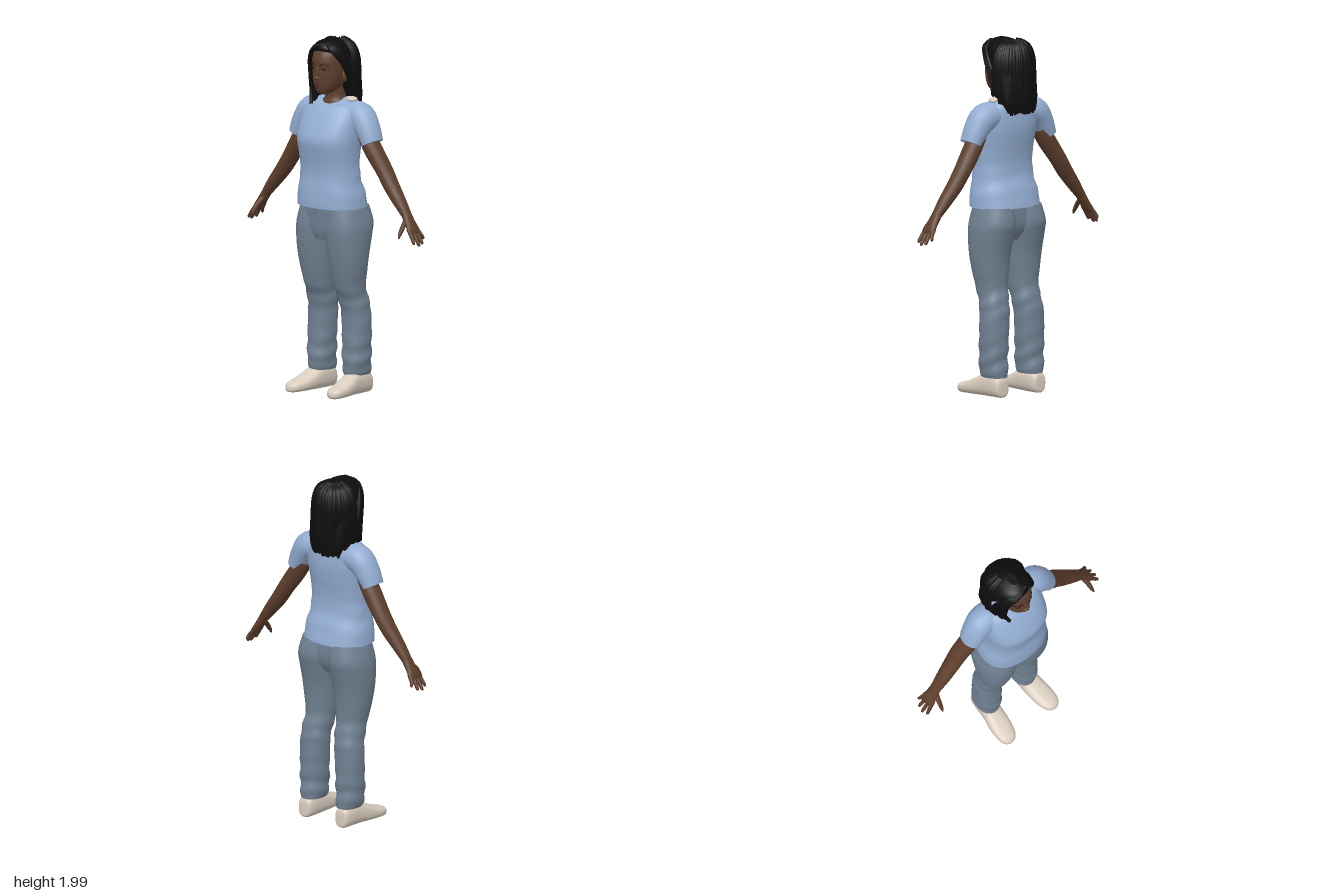
import * as THREE from 'three';

const paint = (name, color) => Object.assign(new THREE.MeshStandardMaterial({ color }), { name });
const M = {
  skin: paint('brown skin', 0x5d3e2c), hair: paint('black hair', 0x0d0d0d),
  shirt: paint('light blue cotton', 0x93add2), pants: paint('grey blue cloth', 0x708192),
  shoe: paint('cream canvas', 0xd9ccbe), lips: paint('dark lips', 0x4b2a23),
  dark: paint('dark eyes and brows', 0x21150f),
};

// Smooth interpolation of rows of numbers
function smoothRows(rows, n) {
  const out = [];
  for (let i = 0; i < rows.length - 1; i++) {
    const a = rows[Math.max(i - 1, 0)], b = rows[i], c = rows[i + 1], d = rows[Math.min(i + 2, rows.length - 1)];
    for (let k = 0; k < n; k++) {
      const t = k / n;
      out.push(b.map((_, j) => b[j] + 0.5 * t * (c[j] - a[j]
        + t * (2 * a[j] - 5 * b[j] + 4 * c[j] - d[j] + t * (3 * (b[j] - c[j]) + d[j] - a[j])))));
    }
  }
  out.push(rows[rows.length - 1]);
  return out;
}

// Skin a closed surface over rings given as { c, u, v }
function skinRings(rings, seg, power, warp) {
  const pos = [], idx = [], e = 2 / power;
  const bend = (t) => Math.sign(t) * Math.abs(t) ** e;
  const ringPoints = (r) => Array.from({ length: seg }, (_, j) => {
    const a = (j / seg) * Math.PI * 2;
    const p = r.c.clone().addScaledVector(r.u, bend(Math.cos(a))).addScaledVector(r.v, bend(Math.sin(a)));
    if (warp) warp(p, a, r.c);
    return p;
  });
  const all = rings.map(ringPoints);
  all.forEach((ring) => ring.forEach((p) => pos.push(p.x, p.y, p.z)));
  for (let i = 0; i < rings.length - 1; i++) {
    for (let j = 0; j < seg; j++) {
      const a = i * seg + j, b = i * seg + (j + 1) % seg, c = a + seg, d = b + seg;
      idx.push(a, c, b, b, c, d);
    }
  }
  // End caps with their own vertices
  [0, rings.length - 1].forEach((ri) => {
    const start = pos.length / 3;
    const mid = all[ri].reduce((s, p) => s.add(p), new THREE.Vector3()).divideScalar(seg);
    [...all[ri], mid].forEach((p) => pos.push(p.x, p.y, p.z));
    for (let j = 0; j < seg; j++) {
      const a = start + j, b = start + (j + 1) % seg, m = start + seg;
      if (ri === 0) idx.push(a, b, m); else idx.push(b, a, m);
    }
  });
  const g = new THREE.BufferGeometry();
  g.setAttribute('position', new THREE.Float32BufferAttribute(pos, 3));
  g.setIndex(idx);
  g.computeVertexNormals();
  return g;
}

// Upright body from rows [y, x0, x1, z0, z1]
function upright(rows, power = 2, warp = null, seg = 40, n = 5) {
  return skinRings(smoothRows(rows, n).map(([y, x0, x1, z0, z1]) => ({
    c: new THREE.Vector3((x0 + x1) / 2, y, (z0 + z1) / 2),
    u: new THREE.Vector3((x1 - x0) / 2, 0, 0), v: new THREE.Vector3(0, 0, (z1 - z0) / 2),
  })), seg, power, warp);
}

// Limb from rows [x, y, z, thickness, depth], bending in the xy plane
function limb(rows, side, seg = 20, n = 4) {
  const r = smoothRows(rows.map(([x, ...rest]) => [x * side, ...rest]), n);
  return skinRings(r.map(([x, y, z, a, b], i) => {
    const p = r[Math.max(i - 1, 0)], q = r[Math.min(i + 1, r.length - 1)];
    const l = Math.hypot(q[0] - p[0], q[1] - p[1]);
    return {
      c: new THREE.Vector3(x, y, z),
      u: new THREE.Vector3((q[1] - p[1]) / l * a, -(q[0] - p[0]) / l * a, 0), v: new THREE.Vector3(0, 0, b),
    };
  }), seg, 2);
}

const sideRows = (rows, s) => rows.map(([y, a, b, ...z]) => (s > 0 ? [y, a, b, ...z] : [y, -b, -a, ...z]));
const even = (rows) => rows.map(([y, w, ...z]) => [y, -w, w, ...z]);
const tube = (pts, r, n = 14, sides = 6) => new THREE.TubeGeometry(
  new THREE.CatmullRomCurve3(pts.map((p) => new THREE.Vector3(...p))), n, r, sides);

export function createModel() {
  const model = new THREE.Group();
  const add = (name, geo, mat, parent = model) => {
    const m = new THREE.Mesh(geo, mat);
    m.name = name;
    parent.add(m);
    return m;
  };
  const blob = (name, mat, p, s) => {
    const m = add(name, new THREE.SphereGeometry(1, 20, 14), mat);
    m.position.set(...p);
    m.scale.set(...s);
    return m;
  };

  // Shirt body with scooped neck and soft folds at the waist
  add('shirt', upright(even([
    [1.055, 0.205, -0.165, 0.15], [1.12, 0.2, -0.152, 0.15], [1.25, 0.178, -0.115, 0.14],
    [1.35, 0.18, -0.12, 0.155], [1.43, 0.187, -0.135, 0.17], [1.5, 0.19, -0.145, 0.148],
    [1.57, 0.185, -0.145, 0.11], [1.62, 0.165, -0.14, 0.075], [1.65, 0.125, -0.125, 0.045],
    [1.665, 0.085, -0.11, 0.03]]), 2.35, (p, a, c) => {
    const w = Math.exp(-(((p.y - 1.2) / 0.09) ** 2));
    const f = 1 + 0.025 * w * Math.sin(p.y * 55 + 2 * Math.cos(a) * Math.sign(p.x)) * (p.z < 0 ? 1 : 0.3);
    p.x *= f;
    p.z = c.z + (p.z - c.z) * f;
    if (p.y > 1.63) p.y -= 0.3 * Math.max(0, p.z + 0.03) * (p.y - 1.63) / 0.02;
  }, 48), M.shirt);
  blob('undershirtStrap', M.shoe, [0.11, 1.657, -0.045], [0.032, 0.016, 0.032]);

  // Trousers: hips, then each leg
  add('trouserHips', upright(even([[0.87, 0.1, -0.1, 0.095], [0.92, 0.17, -0.135, 0.11],
    [0.98, 0.215, -0.15, 0.115], [1.07, 0.198, -0.145, 0.118]]), 2.3), M.pants);
  const legRows = [[0.11, 0.068, 0.188, -0.152, 0.012], [0.14, 0.06, 0.198, -0.152, 0.02],
    [0.22, 0.054, 0.205, -0.146, 0.018], [0.4, 0.044, 0.208, -0.146, 0.012], [0.5, 0.038, 0.2, -0.143, 0.022],
    [0.6, 0.028, 0.194, -0.118, 0.06], [0.7, 0.014, 0.21, -0.12, 0.086], [0.8, 0.003, 0.222, -0.132, 0.105],
    [0.9, -0.01, 0.227, -0.157, 0.115], [0.97, -0.012, 0.223, -0.172, 0.114], [1.06, -0.01, 0.198, -0.155, 0.1]];
  const legFolds = (p, a, c) => {
    const w = Math.exp(-(((p.y - 0.23) / 0.1) ** 2)) + 0.7 * Math.exp(-(((p.y - 0.53) / 0.07) ** 2));
    const f = 1 + 0.06 * w * Math.sin(p.y * 62 + 2 * Math.sin(a) + 1.5 * Math.cos(a));
    p.x = c.x + (p.x - c.x) * f;
    p.z = c.z + (p.z - c.z) * f;
  };
  for (const s of [1, -1]) {
    const tag = s > 0 ? 'left' : 'right';
    add(`${tag}TrouserLeg`, upright(sideRows(legRows, s), 2.2, legFolds, 36, 7), M.pants);
    add(`${tag}Drawstring`, tube([[0.004 * s, 1.05, 0.117], [0.014 * s, 1.02, 0.12], [0.01 * s, 0.985, 0.12]], 0.004), M.pants);

    // Slip-on shoe, lofted from heel to toe
    add(`${tag}Shoe`, upright(sideRows([[-0.157, 0.11, 0.155, -0.075, -0.015], [-0.148, 0.092, 0.175, -0.11, -0.002],
      [-0.1, 0.082, 0.186, -0.135, 0], [-0.02, 0.08, 0.193, -0.13, 0], [0.04, 0.082, 0.204, -0.1, 0],
      [0.1, 0.09, 0.209, -0.074, 0], [0.15, 0.105, 0.204, -0.06, 0], [0.175, 0.123, 0.188, -0.047, -0.003],
      [0.186, 0.145, 0.168, -0.03, -0.012]], s), 2.5).rotateX(Math.PI / 2), M.shoe);

    // Sleeve and arm
    add(`${tag}Sleeve`, limb([[0.1, 1.575, -0.045, 0.072, 0.075], [0.18, 1.565, -0.045, 0.08, 0.08],
      [0.235, 1.5, -0.04, 0.068, 0.074], [0.272, 1.43, -0.037, 0.054, 0.067]], s, 28), M.shirt);
    add(`${tag}Arm`, limb([[0.22, 1.47, -0.04, 0.045, 0.055], [0.275, 1.385, -0.045, 0.05, 0.056],
      [0.345, 1.285, -0.052, 0.045, 0.052], [0.4, 1.205, -0.05, 0.043, 0.047], [0.465, 1.125, -0.045, 0.036, 0.04],
      [0.525, 1.05, -0.042, 0.025, 0.031]], s), M.skin);

    // Hand with four fingers and a thumb
    add(`${tag}Palm`, limb([[0.515, 1.063, -0.042, 0.026, 0.031], [0.55, 1.012, -0.04, 0.022, 0.038],
      [0.575, 0.975, -0.04, 0.018, 0.046], [0.587, 0.955, -0.04, 0.011, 0.042]], s), M.skin);
    [[0.602, 0.922, -0.091], [0.62, 0.9, -0.062], [0.626, 0.893, -0.03], [0.617, 0.905, 0.002]].forEach(([x, y, z], i) => {
      const z0 = -0.073 + i * 0.022;
      add(`${tag}Finger`, limb([[0.565, 0.985, z0, 0.011, 0.011], [0.592, 0.948, (z0 + z) / 2, 0.011, 0.011],
        [x - 0.004, y + 0.01, z, 0.009, 0.009], [x, y, z, 0.003, 0.003]], s, 10), M.skin);
    });
    add(`${tag}Thumb`, limb([[0.528, 1.035, -0.03, 0.014, 0.018], [0.54, 0.995, 0.012, 0.014, 0.018],
      [0.544, 0.96, 0.038, 0.011, 0.012], [0.547, 0.938, 0.052, 0.004, 0.005]], s, 10), M.skin);

    // Paired face details
    blob(`${tag}Ear`, M.skin, [0.094 * s, 1.79, -0.005], [0.012, 0.033, 0.02]);
    const eye = blob(`${tag}Eye`, M.dark, [0.041 * s, 1.836, 0.108], [0.017, 0.006, 0.004]);
    eye.rotation.y = 0.35 * s;
    add(`${tag}Eyebrow`, tube([[0.018 * s, 1.857, 0.118], [0.042 * s, 1.865, 0.108], [0.066 * s, 1.855, 0.088]], 0.004), M.dark);
    blob(`${tag}Nostril`, M.skin, [0.013 * s, 1.782, 0.121], [0.011, 0.009, 0.011]);
  }

  // Neck and head
  add('neck', upright(even([[1.59, 0.09, -0.1, 0.05], [1.64, 0.078, -0.1, 0.032], [1.67, 0.058, -0.09, 0.022],
    [1.74, 0.052, -0.085, 0.025]])), M.skin);
  add('head', upright(even([[1.688, 0.018, 0.045, 0.08], [1.697, 0.038, 0.01, 0.098], [1.72, 0.06, -0.04, 0.11],
    [1.75, 0.075, -0.08, 0.117], [1.79, 0.087, -0.11, 0.118], [1.83, 0.094, -0.125, 0.116], [1.88, 0.096, -0.13, 0.118],
    [1.93, 0.085, -0.115, 0.1], [1.965, 0.055, -0.07, 0.06]]), 2.15), M.skin);
  blob('noseBridge', M.skin, [0, 1.812, 0.115], [0.01, 0.034, 0.014]);
  blob('noseTip', M.skin, [0, 1.786, 0.126], [0.014, 0.012, 0.014]);
  blob('upperLip', M.lips, [0, 1.753, 0.115], [0.026, 0.006, 0.009]);
  blob('lowerLip', M.lips, [0, 1.741, 0.114], [0.022, 0.008, 0.009]);

  // Solid hair mass under the locks
  add('hairMass', upright([[1.59, -0.11, 0.085, -0.165, -0.105], [1.65, -0.13, 0.108, -0.172, -0.07],
    [1.75, -0.138, 0.118, -0.174, -0.01], [1.85, -0.132, 0.118, -0.165, 0.045], [1.91, -0.12, 0.11, -0.145, 0.083],
    [1.945, -0.1, 0.093, -0.12, 0.102], [1.975, -0.068, 0.062, -0.085, 0.085], [1.993, -0.025, 0.025, -0.04, 0.04]],
    2.2), M.hair);

  // Hanging locks around the sides and back
  const locks = new THREE.Group();
  locks.name = 'hairLocks';
  model.add(locks);
  let seed = 7;
  const rnd = () => (seed = (seed * 16807) % 2147483647) / 2147483647;
  const count = 54;
  for (let i = 0; i < count; i++) {
    const a = -0.1 + (i / (count - 1)) * (Math.PI + 0.3);
    const x = 0.13 * Math.cos(a), z = -0.118 * Math.sin(a), j = (rnd() - 0.5) * 0.012;
    const at = (k, y, kz = k) => [-0.01 + x * k + j, y, -0.052 + z * kz + j * 0.5];
    const end = (a < 0.35 ? 1.67 : 1.575) + rnd() * 0.035;
    add('hairLock', tube([at(0.3, 1.985, 0.4), at(0.72, 1.955, 0.75), at(0.96, 1.89), at(1.01, 1.78, 1.02),
      at(0.97, 1.68, 1.02), at(0.88, end, 0.94)], 0.008 + rnd() * 0.003), M.hair, locks);
  }

  // Front locks swept from a parting to each side
  for (let i = 0; i < 9; i++) {
    const k = i / 8, j = (rnd() - 0.5) * 0.01;
    add('frontLockRight', tube([[0.035 - k * 0.02, 1.972, 0.075 - k * 0.05], [-0.04 - k * 0.02, 1.952, 0.1 - k * 0.03],
      [-0.09 - k * 0.025, 1.89, 0.082 - k * 0.05], [-0.1 - k * 0.033, 1.78, 0.066 - k * 0.07],
      [-0.1 - k * 0.033 + j, 1.69, 0.06 - k * 0.08], [-0.085 - k * 0.04 + j, 1.605 + rnd() * 0.04, 0.075 - k * 0.1]],
    0.01), M.hair, locks);
    add('frontLockLeft', tube([[0.03, 1.975, 0.075 - k * 0.05], [0.07 + k * 0.008, 1.945, 0.086 - k * 0.035],
      [0.104 + k * 0.006, 1.88, 0.042 - k * 0.04], [0.112 + k * 0.004, 1.8, -0.005 - k * 0.045],
      [0.112 + j, 1.73, -0.03 - k * 0.04], [0.108 + j, 1.675 + rnd() * 0.03, -0.035 - k * 0.04]], 0.009), M.hair, locks);
  }
  return model;
}
